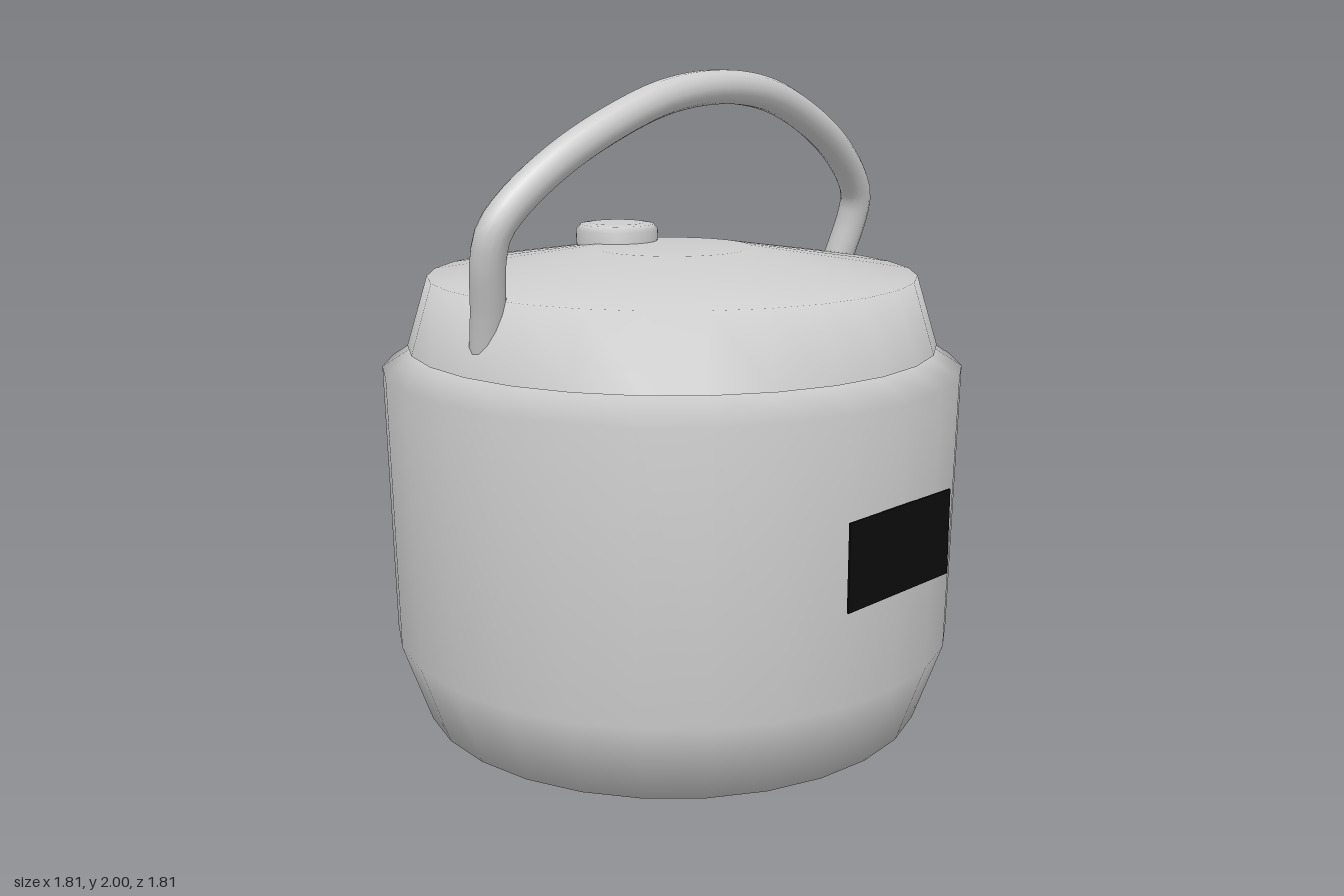
import * as THREE from 'three';

const SIDES = 28;

export function createModel() {
  const grey = new THREE.MeshStandardMaterial({ color: 0xcccccc });
  grey.name = 'light grey';
  const black = new THREE.MeshStandardMaterial({ color: 0x0c0c0c });
  black.name = 'black';

  const model = new THREE.Group();
  model.name = 'riceCooker';

  const add = (name, geometry, material, x = 0, y = 0, z = 0) => {
    const mesh = new THREE.Mesh(geometry, material);
    mesh.name = name;
    mesh.position.set(x, y, z);
    model.add(mesh);
    return mesh;
  };
  const lathe = (points, sides = SIDES) =>
    new THREE.LatheGeometry(points.map(([r, y]) => new THREE.Vector2(r, y)), sides);

  // Pot: tapered foot, tall wall and sloping shoulder
  add('body', lathe([[0, 0], [0.8, 0], [0.888, 0.25], [0.905, 1.1], [0.8, 1.165], [0.6, 1.165]]), grey);

  // Lid with a low, flat-topped dome and a slight overhang
  add('lid', lathe([[0.826, 1.165], [0.76, 1.38], [0.25, 1.46], [0, 1.46]]), grey);
  add('lidUnderside', new THREE.RingGeometry(0.7, 0.826, SIDES), grey, 0, 1.165, 0)
    .rotation.x = Math.PI / 2;

  // Steam vent cap behind the handle
  add('ventCap', lathe([[0.13, 1.42], [0.133, 1.495], [0.118, 1.513], [0.09, 1.517], [0, 1.517]], 32),
    grey, 0, 0, -0.25);

  // Carrying handle, leaning forward; the half path is mirrored in x
  const half = [[0.752, 1.22], [0.77, 1.35], [0.796, 1.5], [0.79, 1.575],
    [0.735, 1.65], [0.6, 1.757], [0.42, 1.853], [0.22, 1.925]];
  const lean = (x, y) => new THREE.Vector3(x, y, 0.02 + (y - 1.25) * 0.257);
  const path = [
    ...half.map(([x, y]) => lean(x, y)),
    lean(0, 1.95),
    ...half.slice().reverse().map(([x, y]) => lean(-x, y)),
  ];
  add('handle', new THREE.TubeGeometry(new THREE.CatmullRomCurve3(path), 64, 0.051, 14), grey);

  // Rounded handle ends set into the lid
  for (const side of [1, -1]) {
    const end = lean(side * half[0][0], half[0][1]);
    add(side > 0 ? 'handleEndLeft' : 'handleEndRight',
      new THREE.SphereGeometry(0.051, 14, 10), grey, end.x, end.y, end.z);
  }

  // Flat control panel on the front
  add('controlPanel', new THREE.BoxGeometry(0.468, 0.258, 0.006), black, 0, 0.68, 0.902);

  return model;
}
